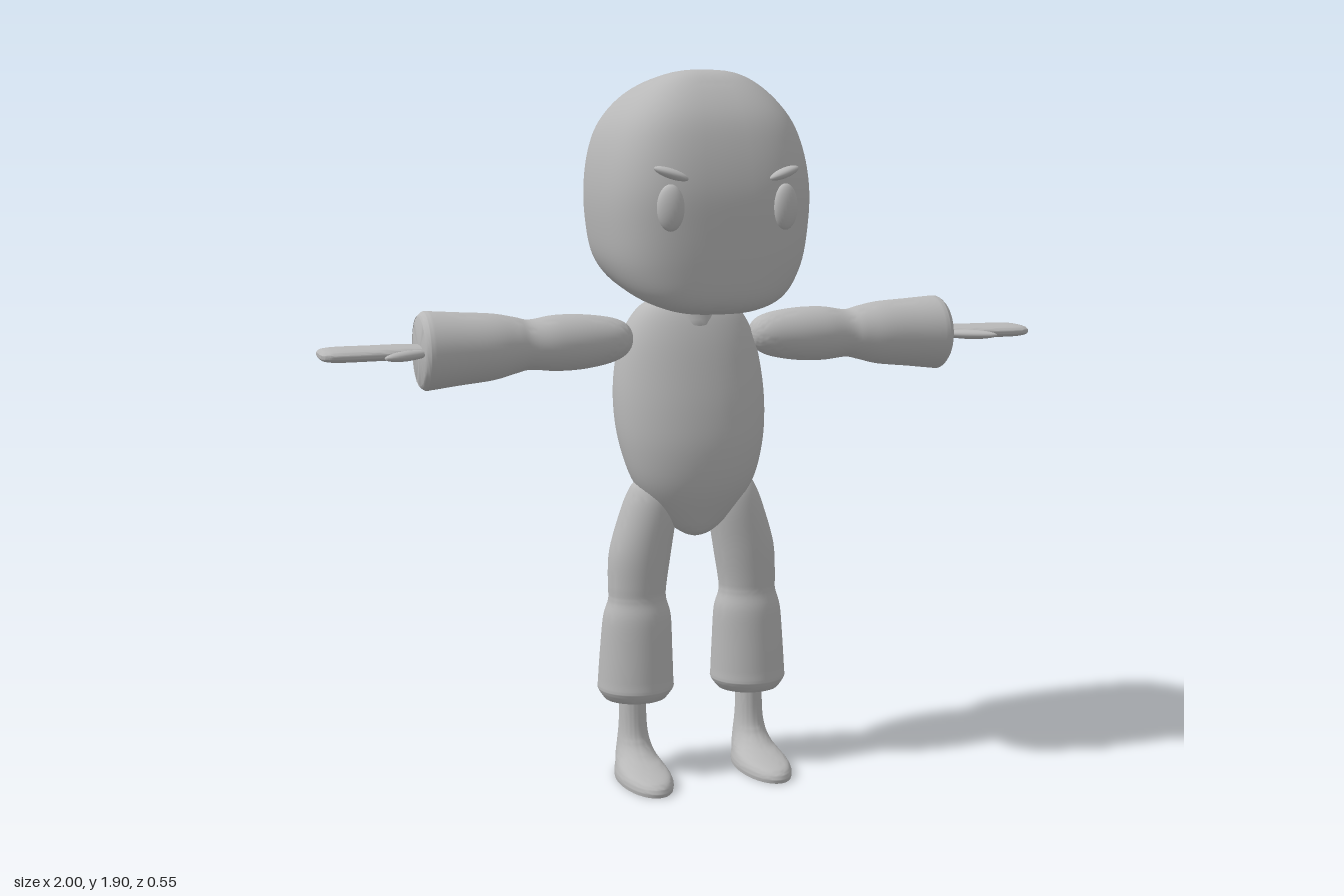
import * as THREE from 'three';
import { toCreasedNormals } from 'three/addons/utils/BufferGeometryUtils.js';

const skin = new THREE.MeshStandardMaterial({ color: 0xb8b8b8 });
skin.name = 'plain grey';

// Smooth interpolation of a list of section rows
function sample(rows, t) {
  const i = Math.min(Math.floor(t), rows.length - 2), f = t - i;
  const p0 = rows[Math.max(i - 1, 0)], p1 = rows[i], p2 = rows[i + 1], p3 = rows[Math.min(i + 2, rows.length - 1)];
  return p1.map((b, k) => {
    const m1 = (p2[k] - p0[k]) / 2, m2 = (p3[k] - b) / 2, f2 = f * f, f3 = f2 * f;
    return (2 * f3 - 3 * f2 + 1) * b + (f3 - 2 * f2 + f) * m1 + (3 * f2 - 2 * f3) * p2[k] + (f3 - f2) * m2;
  });
}

// Loft through superellipse sections; row = [h, aMin, aMax, bMin, bMax, tilt]
function loft(rows, place, n = 2, steps = 5, seg = 40) {
  const pos = [], idx = [], count = (rows.length - 1) * steps + 1;
  const power = (v) => Math.sign(v) * Math.abs(v) ** (2 / n);
  const centres = [];
  for (let j = 0; j < count; j++) {
    const [h, a0, a1, b0, b1, tilt = 0] = sample(rows, j / steps);
    const ca = (a0 + a1) / 2, cb = (b0 + b1) / 2;
    for (let i = 0; i < seg; i++) {
      const t = (i / seg) * Math.PI * 2;
      const a = ca + power(Math.cos(t)) * (a1 - a0) / 2, b = cb + power(Math.sin(t)) * (b1 - b0) / 2;
      pos.push(...place(h + tilt * b, a, b));
    }
    if (j === 0 || j === count - 1) centres.push(place(h + tilt * cb, ca, cb));
  }
  for (let j = 0; j < count - 1; j++) for (let i = 0; i < seg; i++) {
    const a = j * seg + i, b = j * seg + (i + 1) % seg;
    idx.push(a, a + seg, b, b, a + seg, b + seg);
  }
  const first = count * seg, last = (count - 1) * seg;
  pos.push(...centres[0], ...centres[1]);
  for (let i = 0; i < seg; i++) {
    const k = (i + 1) % seg;
    idx.push(first, i, k, first + 1, last + k, last + i);
  }
  // Face the triangles outward, whichever side the part is mirrored to
  let volume = 0;
  const point = (i) => new THREE.Vector3().fromArray(pos, i * 3);
  for (let i = 0; i < idx.length; i += 3) volume += point(idx[i]).dot(point(idx[i + 1]).cross(point(idx[i + 2])));
  if (volume < 0) idx.reverse();
  const geo = new THREE.BufferGeometry();
  geo.setAttribute('position', new THREE.Float32BufferAttribute(pos, 3));
  geo.setIndex(idx);
  return toCreasedNormals(geo, 0.75);
}

function add(parent, name, geo) {
  const mesh = new THREE.Mesh(geo, skin);
  mesh.name = name;
  parent.add(mesh);
  return mesh;
}

const upright = (h, a, b) => [a, h, b];

export function createModel() {
  const model = new THREE.Group();
  model.name = 'figure';

  // Head: rounded block with a sloping jaw
  const head = [
    [1.295, 0, 0.02, 0.02, -0.12], [1.297, 0.08, 0.14, -0.09, -0.14], [1.312, 0.15, 0.2, -0.18, -0.15],
    [1.345, 0.215, 0.235, -0.235, -0.13], [1.41, 0.258, 0.251, -0.26, -0.07], [1.5, 0.276, 0.26, -0.27, -0.02],
    [1.6, 0.28, 0.262, -0.275, 0], [1.7, 0.265, 0.245, -0.275, 0.02], [1.78, 0.232, 0.215, -0.265, 0.04],
    [1.85, 0.17, 0.16, -0.228, 0.07], [1.89, 0.095, 0.105, -0.14, 0.08], [1.903, 0, 0.02, 0.02, 0.08],
  ].map(([y, w, front, back, tilt]) => [y, -w, w, back, front, tilt]);
  add(model, 'head', loft(head, upright, 3.1, 6, 64));

  // Neck and egg-shaped torso
  const neck = add(model, 'neck', new THREE.CapsuleGeometry(0.072, 0.1, 8, 24));
  neck.position.set(0, 1.285, -0.045);
  neck.rotation.x = -0.2;
  const torso = [
    [0.655, 0, -0.01, -0.01], [0.67, 0.04, 0.03, -0.04], [0.71, 0.09, 0.055, -0.075], [0.8, 0.162, 0.09, -0.13],
    [0.9, 0.197, 0.101, -0.175], [1.0, 0.21, 0.092, -0.2], [1.1, 0.206, 0.073, -0.206], [1.2, 0.185, 0.048, -0.19],
    [1.27, 0.145, 0.02, -0.158], [1.3, 0.095, -0.01, -0.125], [1.31, 0, -0.07, -0.07],
  ].map(([y, w, front, back]) => [y, -w, w, back, front]);
  add(model, 'torso', loft(torso, upright, 2.15));

  for (const s of [1, -1]) {
    const side = s > 0 ? 'left' : 'right';
    const along = (h, a, b) => [s * h, a, b];
    const mirrored = (h, a, b) => [s * a, h, b];

    // Eye and slanted brow
    const eye = add(model, side + 'Eye', new THREE.SphereGeometry(1, 24, 16));
    eye.scale.set(0.035, 0.059, 0.022);
    eye.position.set(s * 0.155, 1.555, 0.25);
    eye.rotation.y = s * 0.25;
    const brow = add(model, side + 'Brow', new THREE.SphereGeometry(1, 24, 12));
    brow.scale.set(0.046, 0.013, 0.02);
    brow.position.set(s * 0.152, 1.64, 0.246);
    brow.rotation.set(0, s * 0.25, s * 0.32);

    // Arm widening into a sleeve with a flat cuff
    const arm = [
      [0.165, 1.2, 0], [0.18, 1.2, 0.035], [0.22, 1.198, 0.058], [0.3, 1.196, 0.072], [0.38, 1.195, 0.074],
      [0.45, 1.193, 0.066], [0.49, 1.193, 0.074], [0.55, 1.191, 0.087], [0.64, 1.189, 0.095],
      [0.715, 1.187, 0.102], [0.73, 1.186, 0.102], [0.742, 1.186, 0.092], [0.742, 1.186, 0.09],
    ].map(([x, y, r]) => [x, y - r, y + r, -0.035 - r, -0.035 + r]);
    add(model, side + 'Arm', loft(arm, along));

    // Flat mitten hand with a thumb
    const hand = [
      [0.7, 0.016, -0.09, 0.01], [0.78, 0.018, -0.108, 0.022], [0.87, 0.018, -0.105, 0.035],
      [0.95, 0.018, -0.102, 0.039], [0.985, 0.015, -0.097, 0.033], [0.997, 0.009, -0.082, 0.018], [1, 0, -0.06, -0.005],
    ].map(([x, t, back, front]) => [x, 1.186 - t, 1.186 + t, back, front]);
    add(model, side + 'Hand', loft(hand, along, 2.6));
    const thumb = add(model, side + 'Thumb', new THREE.SphereGeometry(1, 20, 12));
    thumb.scale.set(0.08, 0.013, 0.021);
    thumb.position.set(s * 0.79, 1.186, 0.055);
    thumb.rotation.y = -s * 0.65;

    // Leg with a flared trouser cuff: [y, inner x, outer x, back, front]
    const leg = [
      [0.215, 0.08, 0.25, -0.115, 0.05], [0.215, 0.078, 0.252, -0.118, 0.053], [0.24, 0.06, 0.268, -0.132, 0.068],
      [0.26, 0.06, 0.268, -0.131, 0.067], [0.35, 0.063, 0.262, -0.122, 0.061], [0.44, 0.067, 0.254, -0.11, 0.053],
      [0.49, 0.08, 0.24, -0.096, 0.041], [0.53, 0.078, 0.24, -0.1, 0.041], [0.62, 0.064, 0.235, -0.107, 0.044],
      [0.72, 0.05, 0.206, -0.105, 0.042], [0.78, 0.055, 0.183, -0.092, 0.031],
      [0.81, 0.08, 0.162, -0.067, 0.007], [0.82, 0.12, 0.12, -0.03, -0.03],
    ];
    add(model, side + 'Leg', loft(leg, mirrored));

    // Ankle flowing into a flat-soled foot: [y, half width, back, front]
    const foot = [
      [0, 0.069, -0.09, 0.205], [0.015, 0.07, -0.09, 0.206], [0.032, 0.065, -0.09, 0.185], [0.046, 0.058, -0.09, 0.115],
      [0.06, 0.052, -0.089, 0.06], [0.09, 0.044, -0.087, 0.02], [0.14, 0.038, -0.082, 0.004], [0.24, 0.036, -0.078, 0],
    ].map(([y, w, back, front]) => [y, 0.171 - w, 0.171 + w, back, front]);
    add(model, side + 'Foot', loft(foot, mirrored));
  }
  return model;
}
